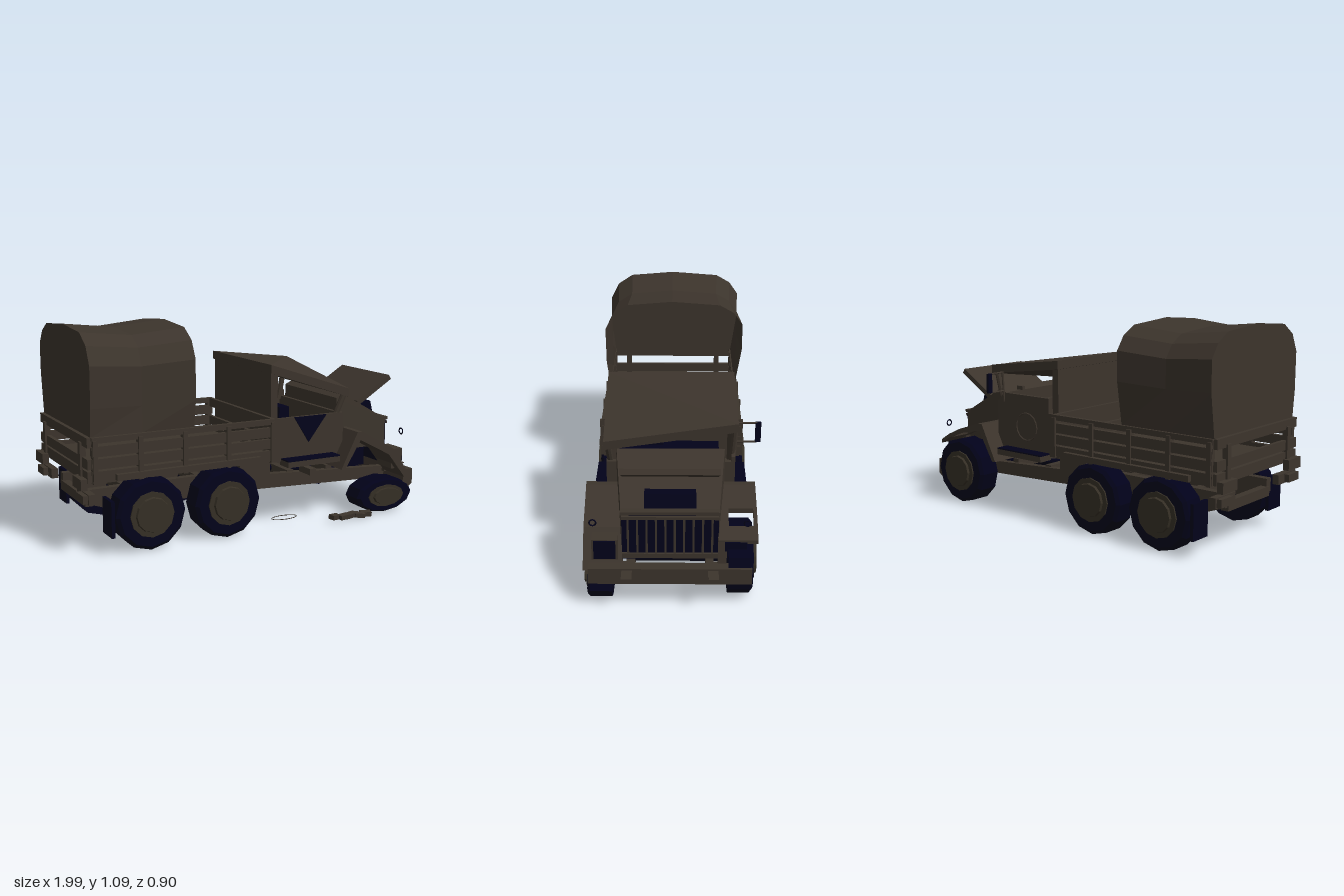
import * as THREE from 'three';
import { ConvexGeometry } from 'three/addons/geometries/ConvexGeometry.js';

const material = (name, color) => {
  const m = new THREE.MeshStandardMaterial({ color, flatShading: true, side: THREE.DoubleSide });
  m.name = name;
  return m;
};

export function createModel() {
  const truck = new THREE.Group();
  truck.name = 'wreckedTruck';
  const paint = material('dullBrownPaint', 0x3c342c);
  const hubPaint = material('oliveHubPaint', 0x352f25);
  const dark = material('blueBlackRubber', 0x02021a);

  const add = (name, geo, mat, parent = truck) => {
    const m = new THREE.Mesh(geo, mat);
    m.name = name;
    parent.add(m);
    return m;
  };
  const box = (name, mat, x0, x1, y0, y1, z0, z1) => {
    const m = add(name, new THREE.BoxGeometry(x1 - x0, y1 - y0, Math.abs(z1 - z0)), mat);
    m.position.set((x0 + x1) / 2, (y0 + y1) / 2, (z0 + z1) / 2);
    return m;
  };
  // Side profile in x and y, extruded from z0 to z1
  const profile = (name, mat, pts, z0, z1) => {
    const shape = new THREE.Shape(pts.map(p => new THREE.Vector2(...p)));
    const geo = new THREE.ExtrudeGeometry(shape, { depth: Math.abs(z1 - z0), bevelEnabled: false });
    return add(name, geo.translate(0, 0, Math.min(z0, z1)), mat);
  };
  const hull = (name, mat, pts) =>
    add(name, new ConvexGeometry(pts.map(p => new THREE.Vector3(...p))), mat);
  const rod = (name, mat, a, b, r) => {
    const p = new THREE.Vector3(...a), d = new THREE.Vector3(...b).sub(p);
    const m = add(name, new THREE.CylinderGeometry(r, r, d.length(), 8), mat);
    m.position.copy(p).addScaledVector(d, 0.5);
    m.quaternion.setFromUnitVectors(new THREE.Vector3(0, 1, 0), d.normalize());
    return m;
  };

  // Wheels: one front wheel is crushed flat
  const wheel = (name, x, y, side, squash) => {
    const g = new THREE.Group();
    g.name = name;
    const disc = (n, mat, r, z0, z1, r2 = r) => {
      const geo = new THREE.CylinderGeometry(r2, r, z1 - z0, 12).rotateX(Math.PI / 2);
      add(n, geo.translate(0, 0, (z0 + z1) / 2), mat, g);
    };
    disc('tyre', dark, 0.183, -0.06, 0.045);
    disc('tyreShoulder', dark, 0.183, 0.045, 0.06, 0.165);
    disc('rim', hubPaint, 0.115, 0.05, 0.068);
    disc('hub', hubPaint, 0.092, 0.06, 0.08, 0.085);
    g.position.set(x, y, side * 0.338);
    g.scale.set(1, squash, 1);
    if (side < 0) g.rotation.y = Math.PI;
    truck.add(g);
  };
  for (const s of [-1, 1]) {
    wheel('rearWheel', -0.655, 0.182, s, 1);
    wheel('middleWheel', -0.235, 0.182, s, 1);
    wheel('frontWheel', 0.74, s > 0 ? 0.095 : 0.182, s, s > 0 ? 0.52 : 1);
  }

  // Ladder frame, axles and shafts
  for (const s of [-1, 1]) {
    profile('frameRail', paint, [[-0.915, 0.29], [-0.915, 0.22], [-0.8, 0.18], [-0.1, 0.18],
      [0.92, 0.14], [0.92, 0.205], [0, 0.255], [-0.1, 0.29]], s * 0.17, s * 0.21);
    profile('towHook', paint, [[0.85, 0.22], [0.995, 0.216], [0.93, 0.18], [0.85, 0.18]], s * 0.18, s * 0.23);
  }
  for (const x of [-0.9, -0.655, -0.45, -0.235, 0, 0.25, 0.5])
    box('crossMember', paint, x - 0.02, x + 0.02, 0.2, 0.25, -0.19, 0.19);
  for (const x of [-0.655, -0.235])
    rod('rearAxle', dark, [x, 0.18, -0.3], [x, 0.18, 0.3], 0.03);
  rod('frontAxle', dark, [0.74, 0.18, -0.3], [0.74, 0.18, 0.2], 0.028);
  rod('driveShaft', dark, [-0.655, 0.19, 0], [0.2, 0.23, 0], 0.02);
  rod('frontShaft', dark, [0.2, 0.23, 0], [0.74, 0.17, 0.05], 0.02);
  box('engine', dark, 0.64, 0.8, 0.2, 0.34, -0.1, 0.1);

  // Cargo bed with slatted sides
  box('bedFloor', paint, -0.94, 0.05, 0.36, 0.4, -0.37, 0.37);
  for (const s of [-1, 1]) {
    for (const [a, b] of [[0.365, 0.42], [0.43, 0.48], [0.49, 0.54], [0.555, 0.583]])
      box('sideSlat', paint, -0.945, 0.05, a, b, s * 0.352, s * 0.375);
    for (const x of [-0.93, -0.7, -0.465, -0.225, 0.03])
      box('bedPost', paint, x - 0.012, x + 0.012, 0.36, 0.57, s * 0.35, s * 0.385);
    box('lowerTrim', paint, -0.83, -0.05, 0.37, 0.4, s * 0.37, s * 0.4);
    box('underBox', paint, -0.12, 0.06, 0.21, 0.36, s * 0.19, s * 0.3);
    box('mudFlap', dark, -0.865, -0.847, 0.09, 0.27, s * 0.28, s * 0.4);
    box('rearBumper', paint, -0.965, -0.93, 0.26, 0.31, s * 0.2, s * 0.37);
    box('tailLamp', paint, -0.998, -0.965, 0.33, 0.385, s * 0.24, s * 0.36);
    box('tailStop', paint, -0.99, -0.93, 0.265, 0.305, s * 0.26, s * 0.36);
    box('tailPost', paint, -0.975, -0.945, 0.36, 0.55, s * 0.26, s * 0.29);
  }
  for (const [a, b] of [[0.365, 0.42], [0.43, 0.48], [0.535, 0.583]]) {
    box('tailSlat', paint, -0.965, -0.945, a, b, -0.365, 0.365);
    box('headSlat', paint, 0.03, 0.05, a, b, -0.365, 0.365);
  }

  // Sagging canvas cover: three arches joined, open towards the cab
  const arch = [[0.355, 0.58], [0.378, 0.72], [0.38, 0.92], [0.335, 1.01], [0.25, 1.065], [0, 1.085],
    [-0.27, 1.065], [-0.35, 1.02], [-0.4, 0.95], [-0.4, 0.8], [-0.36, 0.58]];
  const rings = [[-0.945, 0.98, 1], [-0.68, 0.94, 0.945], [-0.405, 0.99, 1]].map(([x, sz, sy]) =>
    arch.map(([z, y]) => [x, 0.58 + (y - 0.58) * sy, y > 0.6 ? z * sz : z]));
  const tris = [];
  for (let i = 0; i < 2; i++)
    for (let j = 0; j < arch.length - 1; j++) {
      const [a, b, c, d] = [rings[i][j], rings[i + 1][j], rings[i + 1][j + 1], rings[i][j + 1]];
      tris.push(a, b, c, a, c, d);
    }
  for (let j = 0; j < arch.length - 1; j++)
    tris.push([-0.945, 0.58, 0], rings[0][j], rings[0][j + 1]);
  const canvas = new THREE.BufferGeometry();
  canvas.setAttribute('position', new THREE.Float32BufferAttribute(tris.flat(), 3));
  canvas.computeVertexNormals();
  add('canvasCover', canvas, paint);

  // Cab with a twisted roof
  const roof = [];
  for (const t of [0, -0.045])
    roof.push([0.045, 0.857 + t, 0.33], [0.045, 0.857 + t, -0.33],
      [0.532, 0.797 + t, -0.33], [0.532, 0.697 + t, 0.33]);
  hull('bentRoof', paint, roof);
  box('cabBack', paint, 0.05, 0.09, 0.34, 0.82, -0.32, 0.32);
  box('cabFloor', paint, 0.05, 0.5, 0.34, 0.37, -0.31, 0.31);
  box('cabFront', paint, 0.47, 0.5, 0.35, 0.57, -0.305, 0.305);
  profile('leftDoor', paint, [[0.07, 0.34], [0.5, 0.34], [0.5, 0.57], [0.07, 0.57]], 0.3, 0.32);
  profile('doorDent', dark, [[0.19, 0.57], [0.28, 0.43], [0.39, 0.57]], 0.32, 0.326);
  profile('rightDoor', paint, [[0.07, 0.34], [0.5, 0.34], [0.5, 0.6], [0.45, 0.65], [0.12, 0.65],
    [0.12, 0.57], [0.07, 0.57]], -0.32, -0.3);
  add('doorRing', new THREE.TorusGeometry(0.075, 0.004, 4, 16), paint).position.set(0.28, 0.48, -0.322);
  box('seatCushion', dark, 0.14, 0.34, 0.4, 0.5, -0.25, 0.27);
  box('seatBack', dark, 0.13, 0.19, 0.48, 0.62, 0.04, 0.27);
  for (const s of [-1, 1]) {
    rod('windscreenPost', paint, [0.46, 0.55, s * 0.3], [0.51, s > 0 ? 0.67 : 0.77, s * 0.31], 0.016);
    box('runningBoard', paint, 0.115, 0.435, 0.32, 0.35, s * 0.31, s * 0.393);
    box('boardTread', dark, 0.115, 0.435, 0.35, 0.357, s * 0.31, s * 0.393);
  }
  box('stepBracket', paint, 0.3, 0.34, 0.24, 0.275, 0.2, 0.31);
  box('windowBracket', paint, 0.3, 0.34, 0.68, 0.7, -0.33, -0.31);

  // Side mirror on two arms
  box('mirror', dark, 0.44, 0.455, 0.66, 0.765, -0.445, -0.417);
  for (const y of [0.66, 0.762]) rod('mirrorArm', paint, [0.45, y, -0.32], [0.45, y, -0.425], 0.005);
  rod('mirrorStay', paint, [0.45, 0.6, -0.32], [0.45, 0.77, -0.33], 0.006);

  // Sloping bonnet, raised lid and intake
  const bonnet = [];
  for (const s of [-1, 1])
    bonnet.push([0.49, 0.35, s * 0.27], [0.49, 0.64, s * 0.27], [0.53, 0.66, s * 0.265],
      [0.845, 0.49, s * 0.232], [0.845, 0.34, s * 0.232]);
  hull('bonnet', paint, bonnet);
  const lid = box('raisedLid', paint, -0.125, 0.125, -0.014, 0.014, -0.235, 0.228);
  lid.position.set(0.765, 0.658, 0);
  lid.rotation.z = 0.55;
  const intake = box('airIntake', dark, -0.045, 0.045, -0.035, 0.035, -0.125, 0.12);
  intake.position.set(0.785, 0.53, 0);
  intake.rotation.z = 0.25;

  // Grille with upright bars
  box('grilleBack', dark, 0.835, 0.85, 0.235, 0.485, -0.23, 0.23);
  for (const [a, b] of [[0.245, 0.27], [0.46, 0.475]])
    box('grilleRail', paint, 0.85, 0.862, a, b, -0.23, 0.23);
  box('grilleCap', paint, 0.82, 0.86, 0.483, 0.5, -0.235, 0.235);
  for (let i = 0; i < 10; i++) {
    const z = -0.2 + i * 0.4 / 9;
    box('grilleBar', paint, 0.85, 0.858, 0.25, 0.475, z - 0.005, z + 0.005);
  }

  // Bent front wings: the right one has a hole torn above the tyre
  profile('leftWing', paint, [[0.43, 0.28], [0.53, 0.475], [0.56, 0.475], [0.77, 0.36], [0.89, 0.19],
    [0.85, 0.19], [0.74, 0.33], [0.55, 0.43], [0.455, 0.28]], 0.228, 0.418);
  profile('rightWing', paint, [[0.43, 0.28], [0.53, 0.478], [0.56, 0.478], [0.71, 0.43], [0.71, 0.405],
    [0.55, 0.44], [0.455, 0.28]], -0.228, -0.418);
  const torn = [[0.71, 0.43], [0.8, 0.39], [0.8, 0.368], [0.71, 0.405]];
  profile('rightWingInner', paint, torn, -0.228, -0.28);
  profile('rightWingOuter', paint, torn, -0.4, -0.418);
  profile('rightWingTip', paint, [[0.8, 0.39], [0.865, 0.35], [0.865, 0.33], [0.8, 0.368]], -0.228, -0.418);
  profile('rightWingSkirt', paint, [[0.82, 0.37], [0.865, 0.34], [0.88, 0.19], [0.85, 0.19]], -0.228, -0.27);

  // Lamps and bumper
  box('lampHousing', paint, 0.79, 0.861, 0.235, 0.345, 0.25, 0.375);
  for (const s of [-1, 1]) {
    box('lampGlass', dark, 0.861, 0.87, 0.245, 0.34, s * 0.26, s * 0.365);
    const ring = add('lampRing', new THREE.TorusGeometry(0.016, 0.004, 4, 12), dark);
    ring.rotation.y = Math.PI / 2;
    ring.position.set(0.857, 0.44, s * 0.365);
  }
  profile('bumper', paint, [[0.87, 0.225], [0.925, 0.225], [0.925, 0.14], [0.87, 0.1], [0.855, 0.12]],
    -0.39, 0.39);

  // Debris on the ground
  for (let i = 0; i < 5; i++) {
    const m = box('debris', paint, -0.03, 0.03, -0.012, 0.012, -0.018, 0.018);
    m.position.set(0.395 + i * 0.05, 0.025 - i * 0.002, 0.415 + (i % 2) * 0.012);
    m.rotation.set(0.1, 0.3 - i * 0.15, (i % 3 - 1) * 0.12);
  }
  const loose = add('looseRing', new THREE.TorusGeometry(0.075, 0.002, 4, 16), paint);
  loose.rotation.x = Math.PI / 2;
  loose.scale.y = 0.45;
  loose.position.set(0.13, 0.037, 0.33);

  return truck;
}
